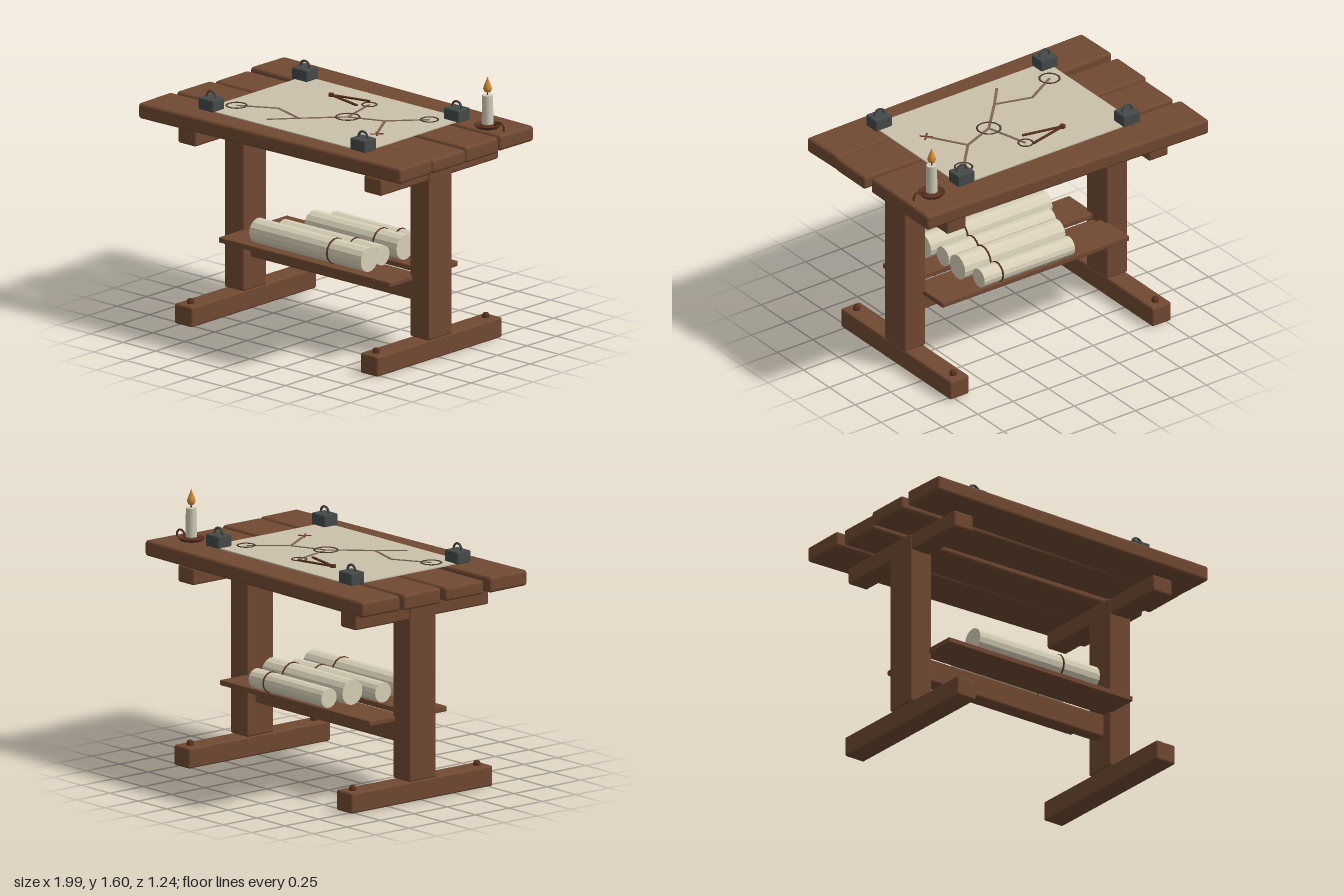
import * as THREE from 'three';
import { RoundedBoxGeometry } from 'three/addons/geometries/RoundedBoxGeometry.js';

const mat = (name, color, opts = {}) => {
  const m = new THREE.MeshStandardMaterial({ color, ...opts });
  m.name = name;
  return m;
};

export function createModel() {
  const root = new THREE.Group();
  root.name = 'mapTable';
  const wood = mat('wood', 0x704932);
  const darkWood = mat('darkWood', 0x5a3220);
  const paper = mat('paper', 0xcbc1aa);
  const scrollPaper = mat('scrollPaper', 0xd8d0b8, { flatShading: true });
  const iron = mat('iron', 0x454a49);
  const ink = mat('ink', 0x7d6656);
  const darkInk = mat('darkInk', 0x4d3a2f);
  const redInk = mat('redInk', 0x7e3a28);
  const wax = mat('wax', 0xd2cbb6);
  const flameColor = mat('flame', 0xd98a35);

  const add = (name, geo, material, x = 0, y = 0, z = 0, parent = root) => {
    const m = new THREE.Mesh(geo, material);
    m.name = name;
    m.position.set(x, y, z);
    parent.add(m);
    return m;
  };
  const beam = (name, w, h, d, x, y, z, r = 0.012) =>
    add(name, new RoundedBoxGeometry(w, h, d, 2, r), wood, x, y, z);

  // Trestles: foot, post, top rail and wooden pegs
  const peg = (x, y, z) => {
    const pts = [[0.022, -0.02], [0.022, 0.012], [0.016, 0.026], [0, 0.032]];
    add('peg', new THREE.LatheGeometry(pts.map(p => new THREE.Vector2(...p)), 12), darkWood, x, y, z);
  };
  for (const s of [-1, 1]) {
    const x = s * 0.715;
    beam('foot', 0.135, 0.12, 1.06, x, 0.06, 0);
    beam('post', 0.15, 1.05, 0.2, x, 0.645, 0);
    beam('topRail', 0.135, 0.1, 1.0, x, 1.122, 0);
    for (const z of [-0.465, 0.465]) peg(x, 0.12, z);
    for (const z of [-0.1, 0.105]) peg(x, 1.17, z);
  }

  // Stretcher and the two shelf boards
  beam('stretcher', 1.3, 0.14, 0.08, 0, 0.385, 0);
  for (const s of [-1, 1]) beam('shelfBoard', 1.32, 0.032, 0.25, 0, 0.469, s * 0.165, 0.006);

  // Table planks: length, width, x, bottom, top, z, yaw
  [
    [1.98, 0.285, 0, 1.2, 1.293, 0.45, 0.0225],
    [1.99, 0.285, 0, 1.203, 1.285, 0.146, -0.007],
    [1.94, 0.28, 0, 1.19, 1.285, -0.156, 0],
    [1.965, 0.285, -0.003, 1.2, 1.292, -0.459, -0.0217],
  ].forEach(([len, w, x, y0, y1, z, yaw]) => {
    beam('tablePlank', len, y1 - y0, w, x, (y0 + y1) / 2, z, 0.018).rotation.y = yaw;
  });

  // Map sheet
  const top = 1.299;
  add('mapSheet', new THREE.BoxGeometry(1.235, 0.007, 0.86), paper, -0.003, top - 0.0035, 0.03);

  // Flat strokes drawn on the sheet
  const stroke = (name, a, b, width, material, h = 0.003, y = top) => {
    const dx = b[0] - a[0], dz = b[1] - a[1];
    const m = add(name, new THREE.BoxGeometry(Math.hypot(dx, dz), h, width), material,
      (a[0] + b[0]) / 2, y + h / 2, (a[1] + b[1]) / 2);
    m.rotation.y = -Math.atan2(dz, dx);
  };
  const hub = [0.1, 0.03], bend = [-0.09, 0.235], fork = [0.31, -0.055];
  const west = [-0.52, 0.29], north = [0.03, -0.23], east = [0.48, -0.245], goal = [0.445, 0.165];
  const routes = [
    [west, [-0.31, 0.17], bend, hub, fork, east],
    [fork, goal], [hub, north], [bend, [-0.21, 0.375]],
  ];
  for (const route of routes)
    for (let i = 1; i < route.length; i++) stroke('routeLine', route[i - 1], route[i], 0.016, ink);
  for (const [[x, z], r] of [[west, 0.058], [hub, 0.068], [north, 0.042], [east, 0.05]]) {
    const ring = add('mapCircle', new THREE.TorusGeometry(r, 0.006, 6, 28), darkInk, x, top + 0.002, z);
    ring.rotation.x = Math.PI / 2;
    ring.scale.z = 0.5;
  }
  for (const s of [-1, 1])
    stroke('crossMark', [goal[0] - 0.027, goal[1] - s * 0.027], [goal[0] + 0.027, goal[1] + s * 0.027], 0.01, redInk, 0.004);

  // Dividers lying on the map
  const hinge = [-0.245, -0.21];
  for (const tip of [[0, -0.268], [0, -0.158]]) stroke('dividerLeg', hinge, tip, 0.014, darkWood, 0.009, top + 0.003);
  add('dividerHinge', new THREE.CylinderGeometry(0.017, 0.017, 0.018, 12), darkWood, hinge[0], top + 0.008, hinge[1]);

  // Iron weights with ring handles at the sheet's corners
  for (const x of [-0.588, 0.582]) for (const z of [-0.365, 0.43]) {
    const weight = new THREE.Group();
    weight.name = 'paperWeight';
    weight.position.set(x, 1.295, z);
    root.add(weight);
    add('weightBlock', new RoundedBoxGeometry(0.116, 0.072, 0.1, 1, 0.008), iron, 0, 0.036, 0, weight);
    add('weightHandle', new THREE.TorusGeometry(0.034, 0.007, 8, 20), iron, 0, 0.075, 0, weight);
  }

  // Rolled scrolls on the shelf: z, radius, start, end, strap position
  for (const [z, r, x0, x1, strapX] of [
    [0.21, 0.073, -0.43, 0.43, 0.17],
    [0.065, 0.06, -0.36, 0.4, 0.19],
    [-0.105, 0.075, -0.29, 0.42, 0.24],
    [-0.255, 0.058, -0.26, 0.38, 0.25],
  ]) {
    const y = 0.484 + r;
    const roll = add('scroll', new THREE.CylinderGeometry(r, r, x1 - x0, 14), scrollPaper, (x0 + x1) / 2, y, z);
    roll.rotation.z = Math.PI / 2;
    add('scrollStrap', new THREE.TorusGeometry(r, 0.006, 6, 14), darkWood, strapX, y, z).rotation.y = Math.PI / 2;
  }

  // Candle on a dish with a finger loop
  const candle = new THREE.Group();
  candle.name = 'candle';
  candle.position.set(0.805, 1.288, -0.38);
  root.add(candle);
  const lathe = (name, pts, material, seg) =>
    add(name, new THREE.LatheGeometry(pts.map(p => new THREE.Vector2(...p)), seg), material, 0, 0, 0, candle);
  lathe('candleDish', [[0, 0], [0.06, 0], [0.077, 0.02], [0.07, 0.022], [0.058, 0.012], [0.04, 0.012], [0.038, 0.026], [0, 0.026]], darkWood, 24);
  add('dishLoop', new THREE.TorusGeometry(0.035, 0.006, 8, 20), darkWood, 0.092, 0.015, 0, candle);
  add('candleStick', new THREE.CylinderGeometry(0.031, 0.034, 0.175, 16), wax, 0, 0.108, 0, candle);
  add('wick', new THREE.CylinderGeometry(0.004, 0.004, 0.03, 6), darkInk, 0, 0.205, 0, candle);
  lathe('flame', [[0, 0.208], [0.018, 0.217], [0.026, 0.234], [0.019, 0.257], [0.008, 0.283], [0, 0.308]], flameColor, 12);

  return root;
}
